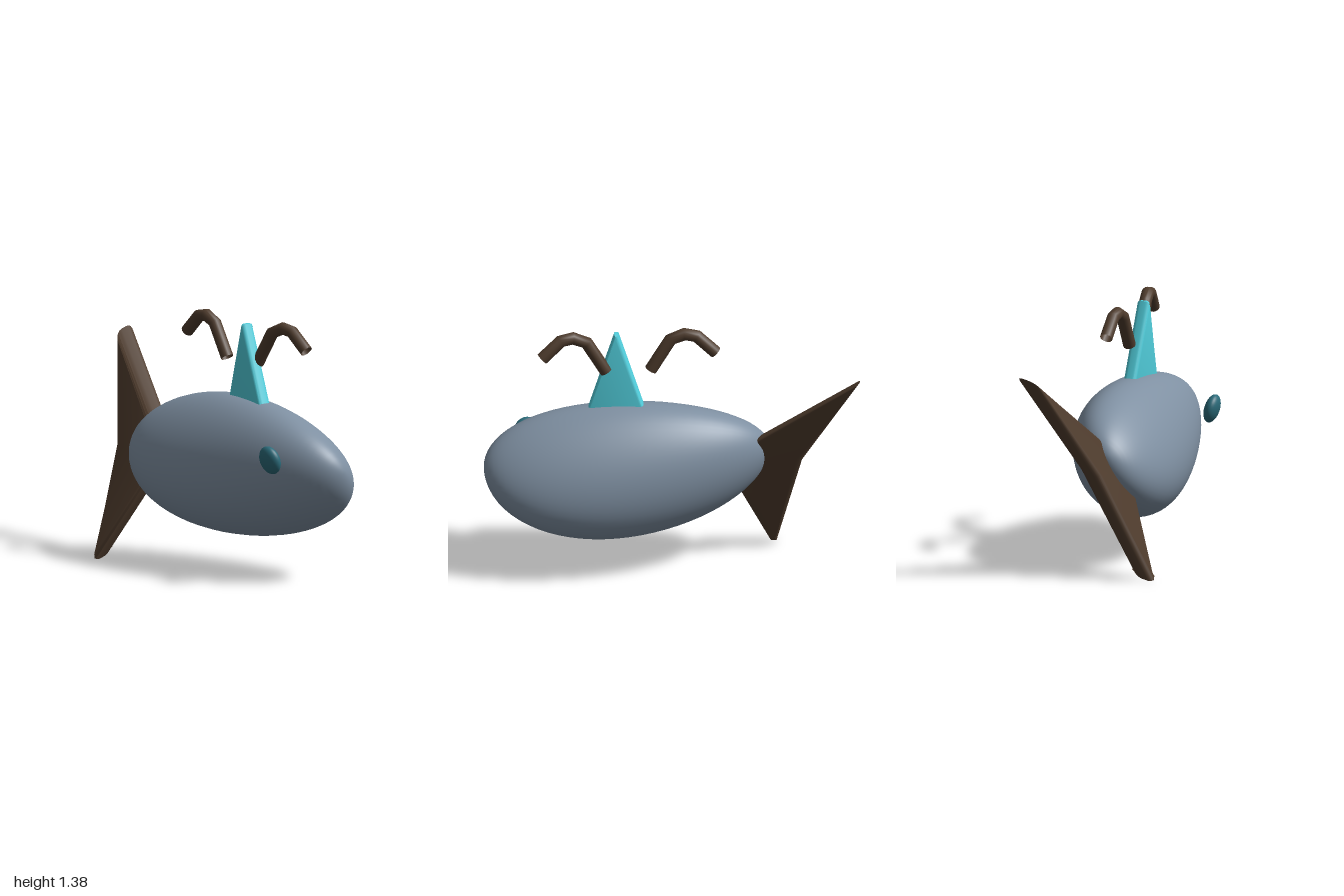
import * as THREE from 'three';
import { mergeVertices, toCreasedNormals } from 'three/addons/utils/BufferGeometryUtils.js';

const mat = (color, side = THREE.FrontSide) => new THREE.MeshStandardMaterial({ color, side });

function part(name, geometry, material) {
  const mesh = new THREE.Mesh(geometry, material);
  mesh.name = name;
  return mesh;
}

// Rounded-edge plate centred on its own mid-plane; the outline is the outer edge
function plate(points, thickness, bevel) {
  const shape = new THREE.Shape(points.map(([x, y]) => new THREE.Vector2(x, y)));
  const geo = new THREE.ExtrudeGeometry(shape, {
    depth: thickness - 2 * bevel, bevelThickness: bevel, bevelSize: bevel,
    bevelOffset: -bevel, bevelSegments: 4,
  });
  geo.translate(0, 0, -(thickness - 2 * bevel) / 2);
  return toCreasedNormals(geo, 0.6);
}

// Straight-segment path, sampled exactly at its corners
class Polyline extends THREE.Curve {
  constructor(points) {
    super();
    this.points = points;
  }
  getPoint(t, target = new THREE.Vector3()) {
    const f = t * (this.points.length - 1);
    const i = Math.min(Math.floor(f), this.points.length - 2);
    return target.lerpVectors(this.points[i], this.points[i + 1], f - i);
  }
  getPointAt(t, target) { return this.getPoint(t, target); }
  getTangentAt(t, target) { return this.getTangent(t, target); }
}

// Egg-section ellipsoid: sags below its axis, widest low down, slightly yawed and twisted
function bodyGeometry() {
  let geo = new THREE.SphereGeometry(1, 56, 36).rotateZ(-Math.PI / 2);
  const p = geo.attributes.position;
  for (let i = 0; i < p.count; i++) {
    const u = p.getX(i), v = p.getY(i), w = p.getZ(i);
    const s = Math.sqrt(Math.max(0, 1 - u * u));
    p.setXYZ(i,
      0.23 + 0.77 * u,
      0.635 - 0.015 * u - 0.054 * s + 0.375 * v,
      0.306 * w * (1 - 0.12 * v) - 0.036 * u + 0.02 * u * u + 0.12 * u * v);
  }
  geo.deleteAttribute('uv');
  geo.deleteAttribute('normal');
  geo = mergeVertices(geo, 1e-4);
  geo.computeVertexNormals();
  return geo;
}

export function createModel() {
  const group = new THREE.Group();
  const brown = mat(0x4f3c2d);
  const brownOpen = mat(0x4f3c2d, THREE.DoubleSide);

  group.add(part('body', bodyGeometry(), mat(0x7f90a2)));

  // Tail fin: forked plate with slanted edges, leaning back at the top
  const tailX = -0.7, tailY = 0.59;
  const outline = [[-0.28, 0.6], [-0.995, 1.145], [-0.71, 0.59], [-0.6, 0.013], [-0.572, 0.013]]
    .map(([x, y]) => [x - tailX, y - tailY]);
  const tailShape = plate(outline, 0.1, 0.035)
    .applyMatrix4(new THREE.Matrix4().makeShear(0, 0, 0, 0, 0, -0.35))
    .applyMatrix4(new THREE.Matrix4().makeShear(0, 0.1, 0, -0.45, 0, 0));
  const tail = part('tailFin', tailShape, brown);
  tail.position.set(tailX, tailY, 0.012);
  group.add(tail);

  // Dorsal fin: blunt triangle, turned slightly
  const fin = part('dorsalFin',
    plate([[-0.18, -0.1], [0.18, -0.1], [0.01, 0.405], [-0.012, 0.405]], 0.072, 0.022), mat(0x52d0de));
  fin.position.set(0.285, 0.95, 0.01);
  fin.rotation.set(0.045, -0.15, 0);
  group.add(fin);

  // Pair of bent hollow spouts, mirrored about the body's middle
  const bend = [[0.12, 1.147, 0], [0.225, 1.32, -0.008], [0.3, 1.352, -0.016],
    [0.365, 1.34, -0.022], [0.467, 1.246, -0.032]];
  for (const [name, side] of [['leftSpout', 1], ['rightSpout', -1]]) {
    const path = new Polyline(bend.map(([x, y, z]) => new THREE.Vector3(0.222 + side * x, y, z)));
    group.add(part(name, new THREE.TubeGeometry(path, bend.length - 1, 0.034, 16), brownOpen));
  }

  // Single flattened eye
  const eye = part('eye', new THREE.SphereGeometry(1, 32, 20), mat(0x2b6b7a));
  eye.scale.set(0.071, 0.079, 0.04);
  eye.position.set(0.738, 0.698, 0.28);
  eye.rotation.x = 0.28;
  group.add(eye);

  return group;
}
